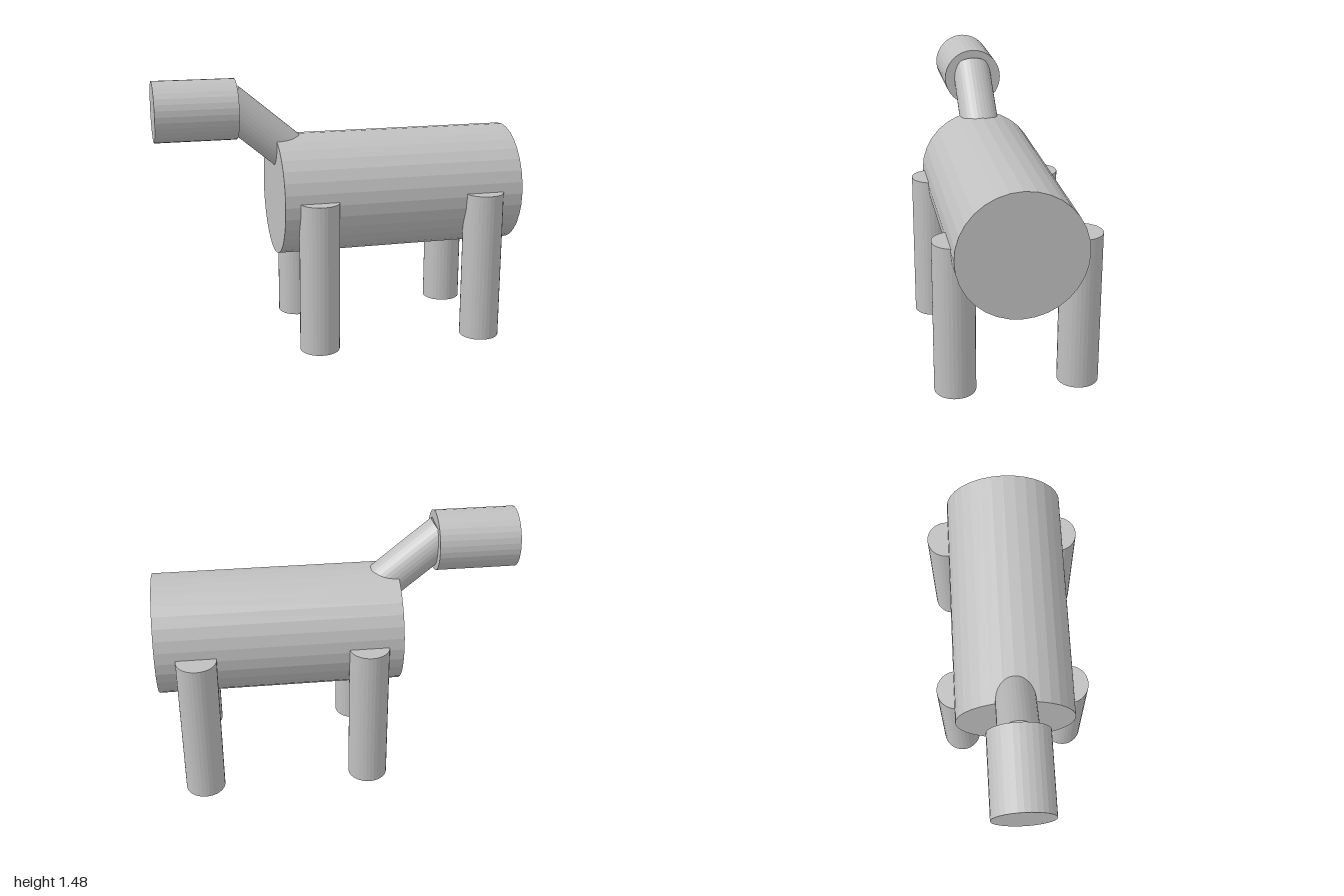
import * as THREE from 'three';

export function createModel() {
  const group = new THREE.Group();
  const grey = new THREE.MeshStandardMaterial({ color: 0xc0c0c0, flatShading: true });
  grey.name = 'light grey';
  const up = new THREE.Vector3(0, 1, 0);

  // Closed cylinder running between two points
  function rod(name, radius, from, to) {
    const a = new THREE.Vector3(...from), b = new THREE.Vector3(...to);
    const axis = b.clone().sub(a);
    const mesh = new THREE.Mesh(new THREE.CylinderGeometry(radius, radius, axis.length(), 32), grey);
    mesh.name = name;
    mesh.position.copy(a).add(b).multiplyScalar(0.5);
    mesh.quaternion.setFromUnitVectors(up, axis.normalize());
    group.add(mesh);
  }

  const midZ = 0.018;
  rod('body', 0.335, [-0.348, 0.824, midZ], [1, 0.824, midZ]);
  rod('neck', 0.11, [-0.146, 0.965, midZ], [-0.606, 1.351, midZ]);
  rod('head', 0.166, [-1, 1.311, midZ], [-0.555, 1.311, midZ]);

  // Four legs, one standing slightly further in
  const legs = [
    ['leftFrontSideLeg', 0.78, 0.326],
    ['rightFrontSideLeg', -0.158, 0.326],
    ['leftBackSideLeg', 0.78, -0.328],
    ['rightBackSideLeg', -0.158, -0.303],
  ];
  for (const [name, x, z] of legs) rod(name, 0.11, [x, 0, z], [x, 0.84, z]);

  return group;
}
